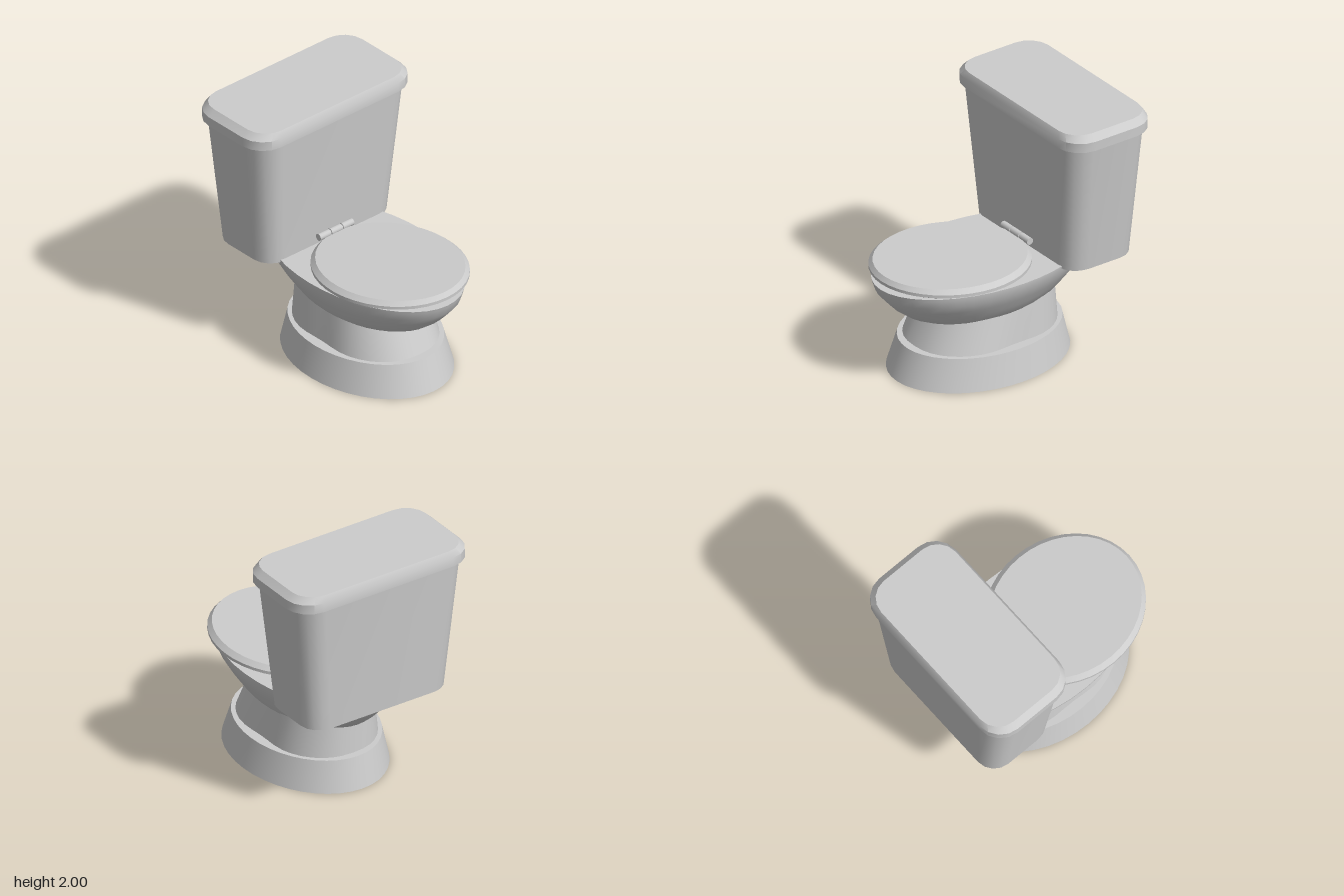
import * as THREE from 'three';
import { toCreasedNormals } from 'three/addons/utils/BufferGeometryUtils.js';

const material = new THREE.MeshStandardMaterial({ color: 0xcccccc });

// Closed solid skinned over rings of points, listed bottom to top, anticlockwise from above
function loft(name, rings, crease = 0.6) {
  const positions = [];
  const tri = (...points) => points.forEach((p) => positions.push(p.x, p.y, p.z));
  const n = rings[0].length;
  const centre = (ring) =>
    ring.reduce((sum, p) => sum.add(p), new THREE.Vector3()).divideScalar(n);
  const bottom = rings[0], top = rings[rings.length - 1];
  const bottomCentre = centre(bottom), topCentre = centre(top);
  for (let j = 0; j < n; j++) {
    const k = (j + 1) % n;
    for (let i = 0; i < rings.length - 1; i++) {
      const lo = rings[i], hi = rings[i + 1];
      tri(lo[j], lo[k], hi[k]);
      tri(lo[j], hi[k], hi[j]);
    }
    tri(bottomCentre, bottom[k], bottom[j]);
    tri(topCentre, top[j], top[k]);
  }
  const geometry = new THREE.BufferGeometry();
  geometry.setAttribute('position', new THREE.Float32BufferAttribute(positions, 3));
  const mesh = new THREE.Mesh(toCreasedNormals(geometry, crease), material);
  mesh.name = name;
  return mesh;
}

// Oval ring from x0 to x1, half-width w; slope tilts it along x, pinch narrows the waist
function oval(y, x0, x1, w, { slope = 0, pinch = 0, power = 1, segments = 40 } = {}) {
  const cx = (x0 + x1) / 2, rx = (x1 - x0) / 2;
  return Array.from({ length: segments }, (_, i) => {
    const t = (i / segments) * Math.PI * 2;
    const x = cx + rx * Math.cos(t);
    const s = Math.sin(t);
    const waist = 1 - pinch * Math.exp(-(((x - 0.05) / 0.22) ** 2));
    const z = -w * Math.sign(s) * Math.abs(s) ** power * waist;
    return new THREE.Vector3(x, y + slope * (x - cx), z);
  });
}

// Rounded rectangle ring from x0 to x1, half-width w, corner radius r
function roundedRect(y, x0, x1, w, r, steps = 4) {
  const cx = (x0 + x1) / 2, hx = (x1 - x0) / 2;
  const ring = [];
  [[1, -1], [-1, -1], [-1, 1], [1, 1]].forEach(([sx, sz], corner) => {
    for (let i = 0; i <= steps; i++) {
      const t = (corner + i / steps) * Math.PI / 2;
      ring.push(new THREE.Vector3(
        cx + sx * (hx - r) + r * Math.cos(t), y, sz * (w - r) - r * Math.sin(t)));
    }
  });
  return ring;
}

export function createModel() {
  const model = new THREE.Group();
  model.name = 'toilet';

  // Flared foot and waisted neck
  model.add(loft('foot', [
    oval(0, -0.65, 0.83, 0.555),
    oval(0.25, -0.59, 0.74, 0.5),
  ]));
  const waist = { pinch: 0.1, power: 0.85 };
  model.add(loft('neck', [
    oval(0.24, -0.53, 0.68, 0.465, waist),
    oval(0.54, -0.51, 0.54, 0.42, waist),
  ]));

  // Bowl: [y, back x, front x, half-width]
  const bowl = [
    [0.49, -0.53, 0.68, 0.375],
    [0.52, -0.59, 0.74, 0.405],
    [0.59, -0.67, 0.83, 0.45],
    [0.66, -0.735, 0.895, 0.495],
    [0.73, -0.79, 0.955, 0.532],
    [0.8, -0.83, 0.978, 0.553],
    [0.82, -0.84, 0.985, 0.555],
  ];
  model.add(loft('bowl', bowl.map((ring) => oval(...ring))));

  // Closed seat cover, rising slightly to the front
  const tilt = { slope: 0.03 };
  model.add(loft('seatCover', [
    oval(0.838, -0.265, 0.965, 0.54, tilt),
    oval(0.844, -0.285, 0.975, 0.553, tilt),
    oval(0.868, -0.285, 0.975, 0.553, tilt),
    oval(0.902, -0.255, 0.948, 0.515, tilt),
  ], 0.4));

  // Hinge of three knuckles on one pin
  const hinge = new THREE.Group();
  hinge.name = 'hinge';
  hinge.position.set(-0.265, 0.893, 0);
  const rod = (name, radius, length, z) => {
    const mesh = new THREE.Mesh(
      new THREE.CylinderGeometry(radius, radius, length, 12).rotateX(Math.PI / 2), material);
    mesh.name = name;
    mesh.position.z = z;
    hinge.add(mesh);
  };
  rod('hingePin', 0.02, 0.32, 0);
  for (const z of [-0.113, 0, 0.113]) rod('hingeKnuckle', 0.028, 0.105, z);
  model.add(hinge);

  // Tank tapering downwards, with a bevelled lid
  model.add(loft('tank', [
    roundedRect(0.8, -0.91, -0.3, 0.625, 0.16),
    roundedRect(1.88, -0.97, -0.235, 0.74, 0.19),
  ]));
  model.add(loft('tankLid', [
    roundedRect(1.875, -0.99, -0.215, 0.78, 0.2),
    roundedRect(1.95, -0.99, -0.215, 0.78, 0.2),
    roundedRect(2, -0.965, -0.24, 0.73, 0.175),
  ]));

  return model;
}
